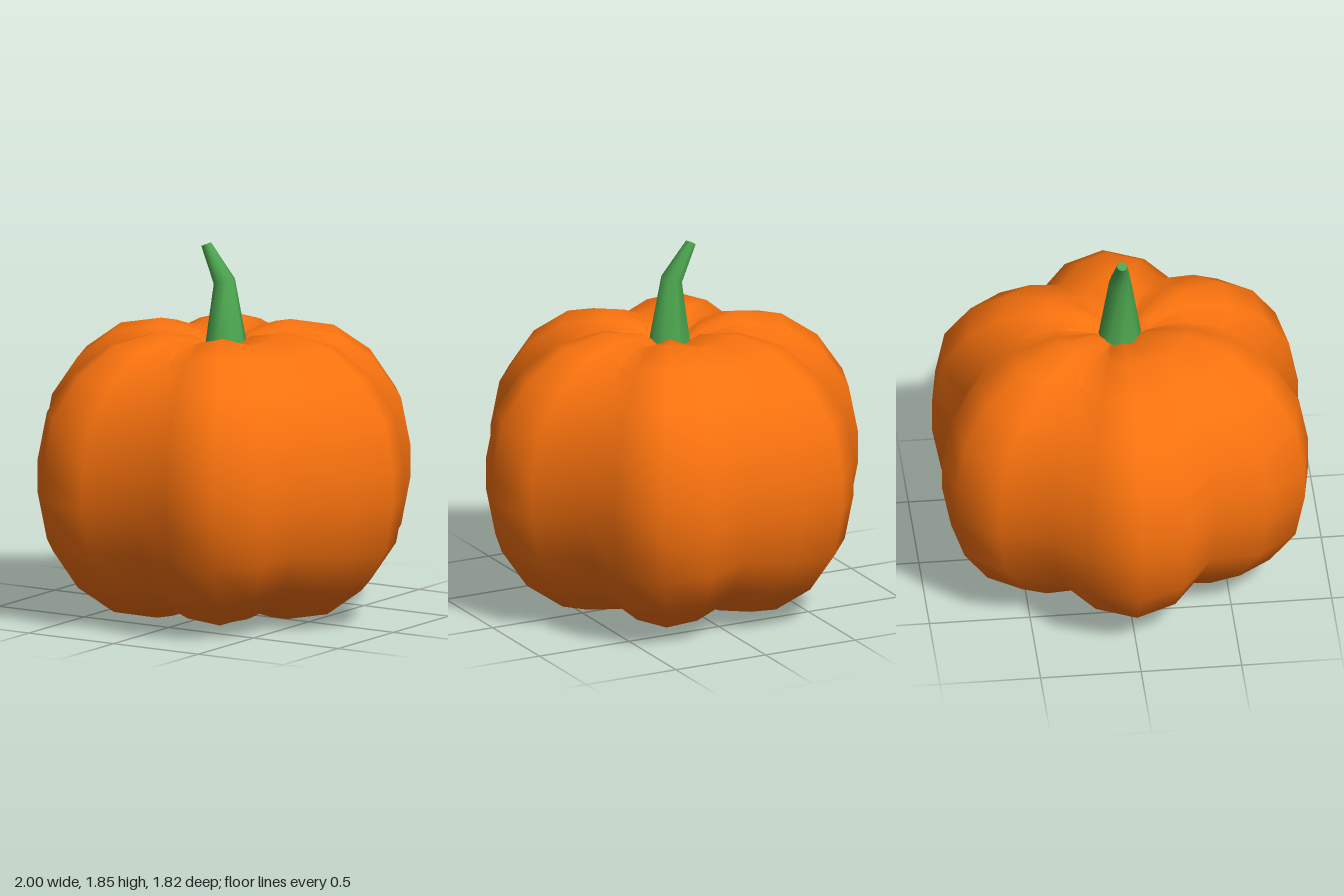
import * as THREE from 'three';
import { toCreasedNormals } from 'three/addons/utils/BufferGeometryUtils.js';

const MID = 0.72; // height of the widest ring

// Six-lobed body: a 24-sided lathe whose grooves are pulled in between the lobes
function bodyGeometry() {
  const half = [[1, 0.085], [0.95, 0.33], [0.81, 0.53], [0.61, 0.67], [0.37, 0.72], [0.16, 0.685], [0, 0.6]];
  const profile = [
    ...half.map(([r, h]) => new THREE.Vector2(r, -h)).reverse(),
    ...half.map(([r, h]) => new THREE.Vector2(r, h)),
  ];
  const geo = new THREE.LatheGeometry(profile, 24);
  const pos = geo.attributes.position;
  for (let i = 0; i < pos.count; i++) {
    const x = pos.getX(i), y = pos.getY(i), z = pos.getZ(i);
    // 0 on a lobe's ridge, 1 half-way down its flank, 2 in the groove
    const step = Math.round((Math.acos(Math.cos(6 * Math.atan2(x, z) + Math.PI)) * 2) / Math.PI);
    const wide = [1, 0.942, 0.81][step];
    const tall = [1, 0.97, 0.93][step];
    pos.setXYZ(i, x * wide, MID + y * tall, z * wide);
  }
  return toCreasedNormals(geo, THREE.MathUtils.degToRad(50));
}

// Bent, tapering eight-sided stem: a three-ring cylinder with each ring moved into place
function stemGeometry() {
  const rings = [ // x, y, radius, tilt, from the tip down
    [-0.105, 1.838, 0.026, 0.42],
    [0.002, 1.663, 0.055, 0.3],
    [0.014, 1.27, 0.118, 0],
  ];
  const geo = new THREE.CylinderGeometry(1, 1, 2, 8, 2);
  const pos = geo.attributes.position;
  for (let i = 0; i < pos.count; i++) {
    const [cx, cy, r, tilt] = rings[Math.round(1 - pos.getY(i))];
    const x = pos.getX(i) * r;
    pos.setXYZ(i, cx + x * Math.cos(tilt), cy + x * Math.sin(tilt), pos.getZ(i) * r);
  }
  return toCreasedNormals(geo, 1);
}

export function createModel() {
  const group = new THREE.Group();
  group.name = 'pumpkin';
  const add = (name, geometry, color) => {
    const mesh = new THREE.Mesh(geometry, new THREE.MeshStandardMaterial({ color }));
    mesh.name = name;
    group.add(mesh);
  };
  add('body', bodyGeometry(), 0xf9720e);
  add('stem', stemGeometry(), 0x4ca64f);
  return group;
}
